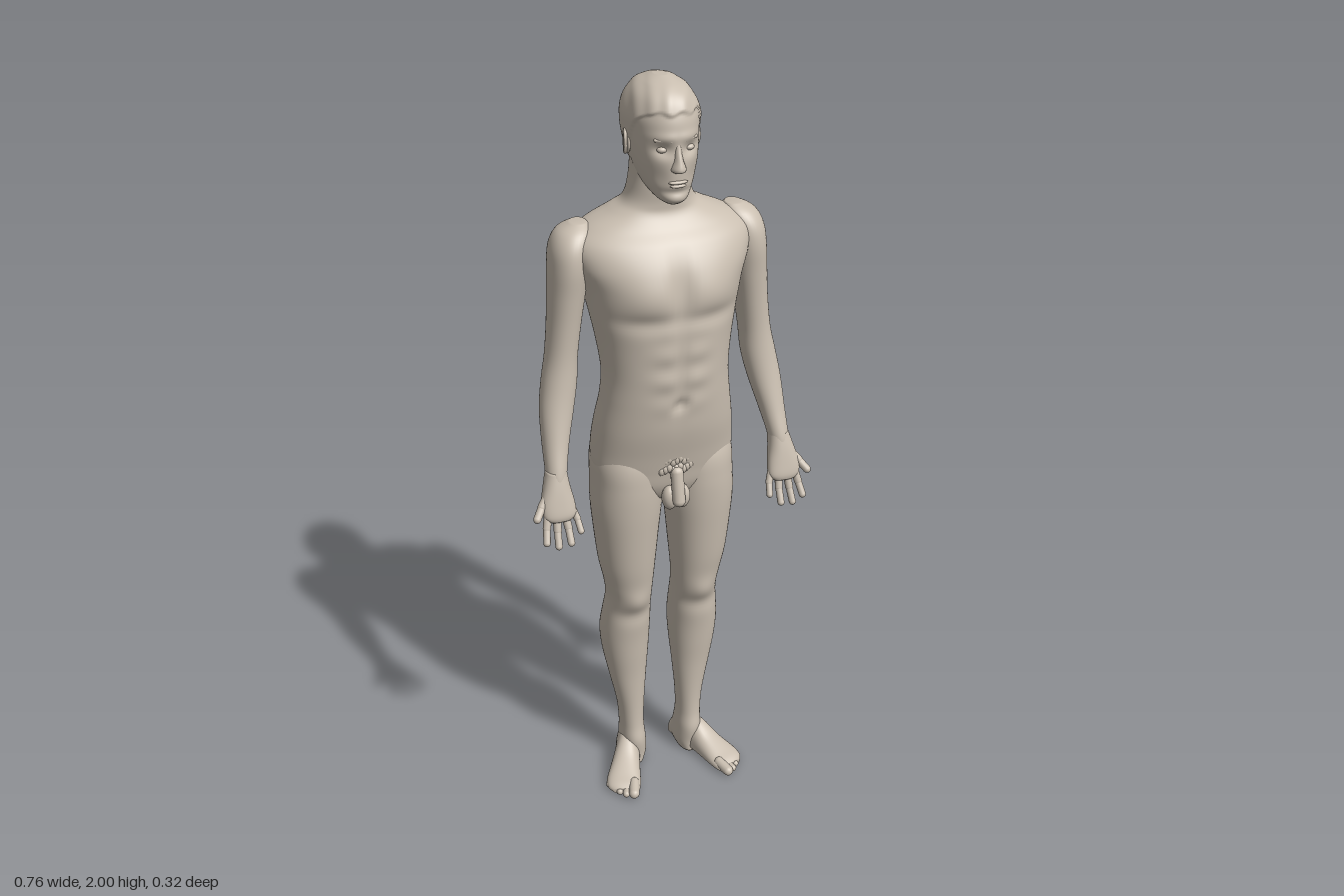
import * as THREE from 'three';
import { mergeGeometries } from 'three/addons/utils/BufferGeometryUtils.js';

const clay = new THREE.MeshStandardMaterial({ color: 0xc9beb0 });
clay.name = 'clay';

const bell = (d, s) => Math.exp(-(d * d) / (2 * s * s));
const smooth = THREE.MathUtils.smoothstep;

// Smooth loft through sections [y, centreX, halfWidth, frontZ, backZ, widestZ], y ascending
function loft(sections, { segs = 40, sub = 5, power = 2.2, warp } = {}) {
  const pos = [], index = [], last = sections.length - 1, rows = last * sub;
  const at = (i) => sections[Math.min(Math.max(i, 0), last)];
  for (let r = 0; r <= rows; r++) {
    const i = Math.min(Math.floor(r / sub), last - 1), t = r / sub - i;
    const [y, cx, rx, zf, zb, zc] = at(i).map((b, k) => {
      const a = at(i - 1)[k], c = at(i + 1)[k], d = at(i + 2)[k];
      return b + 0.5 * t * (c - a + t * (2 * a - 5 * b + 4 * c - d + t * (3 * (b - c) + d - a)));
    });
    for (let j = 0; j < segs; j++) {
      const c = Math.cos((j / segs) * Math.PI * 2), s = Math.sin((j / segs) * Math.PI * 2);
      const p = new THREE.Vector3(
        cx + rx * Math.sign(c) * Math.abs(c) ** (2 / power), y,
        zc + (s > 0 ? zf - zc : zc - zb) * Math.sign(s) * Math.abs(s) ** (2 / power));
      if (warp) warp(p, c, s);
      pos.push(p.x, p.y, p.z);
    }
  }
  for (const row of [0, rows]) {
    const [y, cx, , , , zc] = at(row ? last : 0);
    pos.push(cx, y, zc);
  }
  const low = (rows + 1) * segs;
  for (let j = 0; j < segs; j++) {
    const k = (j + 1) % segs, top = rows * segs;
    for (let r = 0; r < rows; r++) {
      const a = r * segs + j, b = r * segs + k;
      index.push(a, a + segs, b, b, a + segs, b + segs);
    }
    index.push(j, k, low, top + k, top + j, low + 1);
  }
  const g = new THREE.BufferGeometry();
  g.setAttribute('position', new THREE.Float32BufferAttribute(pos, 3));
  g.setIndex(index);
  g.computeVertexNormals();
  return g;
}

// Rounded limb between two points
function capsule(a, b, r) {
  const A = new THREE.Vector3(...a), B = new THREE.Vector3(...b), d = B.clone().sub(A);
  const g = new THREE.CapsuleGeometry(r, d.length(), 6, 14);
  g.applyQuaternion(new THREE.Quaternion().setFromUnitVectors(new THREE.Vector3(0, 1, 0), d.normalize()));
  return g.translate(...A.add(B).multiplyScalar(0.5).toArray());
}
const ball = (x, y, z, rx, ry, rz) => new THREE.SphereGeometry(1, 20, 14).scale(rx, ry, rz).translate(x, y, z);

function mirror(geo) {
  const g = geo.clone().scale(-1, 1, 1), ix = g.index.array;
  for (let i = 0; i < ix.length; i += 3) [ix[i], ix[i + 1]] = [ix[i + 1], ix[i]];
  return g;
}

// Muscle relief of the trunk
function torsoWarp(p, c, s) {
  const ax = Math.abs(p.x), y = p.y, f = Math.max(0, s), b = Math.max(0, -s);
  p.z += f * (0.012 * bell(ax - 0.09, 0.055) * bell(y - 1.5, 0.035)
    - 0.012 * bell(p.x, 0.018) * bell(y - 1.51, 0.06)
    - 0.009 * bell(ax - 0.09, 0.07) * bell(y - 1.435, 0.016)
    - 0.006 * bell(p.x, 0.012) * bell(y - 1.3, 0.08)
    + 0.003 * bell(ax - 0.04, 0.025) * bell(y - 1.3, 0.07) * Math.cos((y - 1.35) * 84)
    - 0.012 * bell(p.x, 0.012) * bell(y - 1.205, 0.012));
  p.z += b * (0.024 * bell(p.x, 0.028) * bell(y - 1.43, 0.16)
    + 0.05 * bell(p.x, 0.022) * bell(y - 0.97, 0.07)
    - 0.008 * bell(ax - 0.1, 0.04) * bell(y - 1.54, 0.07));
}

// Eye sockets, cheeks and the raised mass of hair
function headWarp(p, c, s) {
  const ax = Math.abs(p.x), f = Math.max(0, s);
  p.z += f * (-0.013 * bell(ax - 0.034, 0.015) * bell(p.y - 1.852, 0.011)
    + 0.004 * bell(ax - 0.03, 0.03) * bell(p.y - 1.882, 0.008)
    - 0.006 * bell(ax - 0.045, 0.015) * bell(p.y - 1.785, 0.02)
    - 0.006 * bell(p.x, 0.03) * bell(p.y - 1.75, 0.007));
  const line = 1.785 + 0.145 * smooth(p.z, -0.07, 0.06) + 0.004 * Math.sin(p.x * 130);
  const k = 0.005 * smooth(p.y - line, 0, 0.008) * (1 + 0.25 * Math.sin(p.x * 170 + p.z * 60));
  p.x += c * k;
  p.z += s * k;
}

const TORSO = [
  [0.89, 0, 0.03, 0.03, -0.05, 0], [0.91, 0, 0.11, 0.06, -0.11, -0.02], [0.95, 0, 0.175, 0.08, -0.143, -0.02],
  [1.0, 0, 0.187, 0.09, -0.157, -0.02], [1.05, 0, 0.187, 0.1, -0.159, -0.02], [1.12, 0, 0.18, 0.115, -0.142, -0.01],
  [1.2, 0, 0.168, 0.125, -0.112, 0], [1.27, 0, 0.163, 0.13, -0.106, 0], [1.35, 0, 0.172, 0.132, -0.12, -0.01],
  [1.43, 0, 0.187, 0.134, -0.14, -0.02], [1.5, 0, 0.203, 0.13, -0.154, -0.03], [1.56, 0, 0.225, 0.117, -0.16, -0.04],
  [1.61, 0, 0.228, 0.088, -0.158, -0.05], [1.645, 0, 0.19, 0.055, -0.15, -0.05], [1.675, 0, 0.125, 0.034, -0.135, -0.05],
  [1.7, 0, 0.088, 0.031, -0.12, -0.04], [1.75, 0, 0.073, 0.035, -0.108, -0.04], [1.82, 0, 0.068, 0.03, -0.1, -0.04]];
const HEAD = [
  [1.717, 0, 0.018, 0.08, 0.03, 0.06], [1.73, 0, 0.038, 0.095, 0, 0.04], [1.76, 0, 0.059, 0.098, -0.05, 0.01],
  [1.8, 0, 0.073, 0.1, -0.098, -0.01], [1.84, 0, 0.08, 0.1, -0.127, -0.02], [1.88, 0, 0.084, 0.097, -0.143, -0.03],
  [1.92, 0, 0.083, 0.091, -0.145, -0.03], [1.96, 0, 0.068, 0.072, -0.128, -0.03], [1.985, 0, 0.043, 0.04, -0.094, -0.03],
  [2.0, 0, 0.01, -0.01, -0.045, -0.03]];
const LEG = [
  [0.0, 0.08, 0.026, 0.01, -0.095, -0.05], [0.03, 0.08, 0.036, 0.01, -0.108, -0.05], [0.08, 0.084, 0.036, 0.016, -0.095, -0.04],
  [0.13, 0.086, 0.034, 0.008, -0.085, -0.04], [0.2, 0.088, 0.038, 0.006, -0.09, -0.04], [0.3, 0.094, 0.052, 0.01, -0.105, -0.045],
  [0.38, 0.098, 0.063, 0.018, -0.12, -0.05], [0.45, 0.099, 0.068, 0.025, -0.125, -0.05], [0.52, 0.096, 0.065, 0.035, -0.108, -0.04],
  [0.58, 0.094, 0.062, 0.046, -0.089, -0.03], [0.63, 0.096, 0.066, 0.054, -0.094, -0.02], [0.7, 0.1, 0.076, 0.066, -0.104, -0.02],
  [0.8, 0.101, 0.086, 0.077, -0.115, -0.02], [0.88, 0.1, 0.093, 0.084, -0.127, -0.02], [0.95, 0.098, 0.092, 0.086, -0.15, -0.02],
  [1.02, 0.095, 0.09, 0.08, -0.158, -0.02], [1.1, 0.085, 0.075, 0.05, -0.12, -0.02]];
const ARM = [
  [0.99, 0.306, 0.027, 0.078, 0.018, 0.045], [1.03, 0.303, 0.027, 0.072, 0.005, 0.038], [1.1, 0.294, 0.034, 0.05, -0.033, 0.01],
  [1.18, 0.281, 0.043, 0.03, -0.062, -0.015], [1.25, 0.268, 0.045, 0.018, -0.077, -0.03], [1.32, 0.258, 0.041, 0.012, -0.086, -0.037],
  [1.4, 0.248, 0.042, 0.014, -0.095, -0.04], [1.48, 0.239, 0.046, 0.02, -0.104, -0.042], [1.55, 0.232, 0.049, 0.026, -0.114, -0.045],
  [1.6, 0.225, 0.049, 0.02, -0.116, -0.048], [1.635, 0.212, 0.043, 0, -0.104, -0.05], [1.655, 0.2, 0.02, -0.03, -0.078, -0.05]];
const PALM = [
  [0.915, 0.308, 0.032, 0.094, 0.062, 0.078], [0.93, 0.308, 0.043, 0.096, 0.054, 0.075], [0.96, 0.309, 0.043, 0.09, 0.04, 0.065],
  [1.0, 0.307, 0.034, 0.08, 0.022, 0.05], [1.04, 0.303, 0.026, 0.068, 0.008, 0.036]];
// Digits: base, knuckle, tip, radius
const DIGITS = [
  [[0.276, 0.945, 0.068], [0.264, 0.91, 0.082], [0.26, 0.882, 0.099], 0.0095],
  [[0.295, 0.935, 0.072], [0.29, 0.893, 0.088], [0.289, 0.858, 0.108], 0.0105],
  [[0.316, 0.935, 0.074], [0.319, 0.89, 0.09], [0.322, 0.854, 0.108], 0.0105],
  [[0.337, 0.94, 0.072], [0.346, 0.9, 0.086], [0.352, 0.868, 0.104], 0.0105],
  [[0.328, 0.985, 0.055], [0.352, 0.955, 0.07], [0.37, 0.932, 0.087], 0.0115]];
// Foot sections run heel to toe; back value is minus the height
const FOOT = [
  [-0.022, 0, 0.018, 0, -0.035, -0.018], [-0.01, 0, 0.032, 0, -0.06, -0.018], [0.03, 0, 0.036, 0, -0.09, -0.018],
  [0.08, 0, 0.036, 0, -0.092, -0.016], [0.13, 0.002, 0.042, 0, -0.062, -0.014], [0.18, 0.003, 0.048, 0, -0.04, -0.012],
  [0.21, 0, 0.045, 0, -0.029, -0.011], [0.225, -0.006, 0.034, 0, -0.02, -0.01]];
const TOES = [[-0.03, 0.242, 0.0145], [-0.008, 0.238, 0.01], [0.011, 0.228, 0.0095], [0.029, 0.214, 0.009], [0.044, 0.198, 0.0085]];
const NOSE = [
  [1.8, 0, 0.012, 0.108, 0.08, 0.09], [1.808, 0, 0.019, 0.12, 0.08, 0.092], [1.83, 0, 0.012, 0.113, 0.08, 0.09],
  [1.855, 0, 0.009, 0.102, 0.075, 0.085], [1.88, 0, 0.009, 0.094, 0.07, 0.08]];

export function createModel() {
  const model = new THREE.Group();
  model.name = 'standingFigure';
  const add = (name, geo) => {
    const m = new THREE.Mesh(geo, clay);
    m.name = name;
    model.add(m);
  };
  const pair = (name, geo) => {
    add('left' + name, geo);
    add('right' + name, mirror(geo));
  };

  // Trunk and head
  add('torso', loft(TORSO, { segs: 96, sub: 8, power: 2.25, warp: torsoWarp }));
  add('head', loft(HEAD, { segs: 96, sub: 10, power: 2.15, warp: headWarp }));
  add('nose', loft(NOSE, { segs: 20, power: 2 }));
  add('lips', mergeGeometries([ball(0, 1.776, 0.096, 0.024, 0.005, 0.008), ball(0, 1.767, 0.095, 0.02, 0.005, 0.008)]));
  pair('Eye', ball(0.033, 1.852, 0.076, 0.013, 0.008, 0.011));
  pair('Brow', capsule([0.016, 1.873, 0.093], [0.05, 1.876, 0.077], 0.004));
  pair('Ear', mergeGeometries([
    ball(0.083, 1.845, -0.022, 0.006, 0.027, 0.016),
    new THREE.TorusGeometry(0.019, 0.0045, 8, 20).scale(0.8, 1.35, 1).rotateY(Math.PI / 2 + 0.25).translate(0.088, 1.848, -0.025)]));

  // Limbs
  const kneecap = (p, c, s) => {
    p.z += Math.max(0, s) * 0.007 * (bell(p.x - 0.094, 0.025) * bell(p.y - 0.585, 0.025) - bell(p.y - 0.535, 0.02));
  };
  pair('Leg', loft(LEG, { segs: 48, sub: 6, power: 2.1, warp: kneecap }));
  pair('Arm', loft(ARM, { power: 2.1 }));
  pair('Palm', loft(PALM, { power: 2.4 }));
  pair('Fingers', mergeGeometries(DIGITS.flatMap(([a, b, c, r]) => [capsule(a, b, r), capsule(b, c, r * 0.9)])));

  // Feet, turned outward
  const placeFoot = (g) => g.rotateY(0.4).translate(0.077, 0, -0.085);
  pair('Foot', placeFoot(loft(FOOT, { power: 2.3 }).rotateX(Math.PI / 2)));
  pair('Toes', placeFoot(mergeGeometries(TOES.map(([x, z, r]) =>
    capsule([x * 0.9, r + 0.006, z - 0.045], [x, r, z - r * 0.4], r)))));

  // Groin anatomy
  const tufts = [];
  for (let i = 0; i < 13; i++) {
    const x = (i - 6) * 0.0095;
    for (const row of [0, 1]) {
      if (row && Math.abs(x) > 0.04) continue;
      tufts.push(ball(x, 1.035 - row * 0.025 + 0.005 * Math.sin(i * 2.1), 0.09 - x * x * 4, 0.01, 0.014, 0.01));
    }
  }
  add('pubicHair', mergeGeometries(tufts));
  add('groin', mergeGeometries([
    capsule([0, 1.0, 0.095], [0, 0.925, 0.112], 0.017),
    ball(0.017, 0.925, 0.088, 0.021, 0.034, 0.022), ball(-0.017, 0.925, 0.088, 0.021, 0.034, 0.022)]));
  return model;
}
